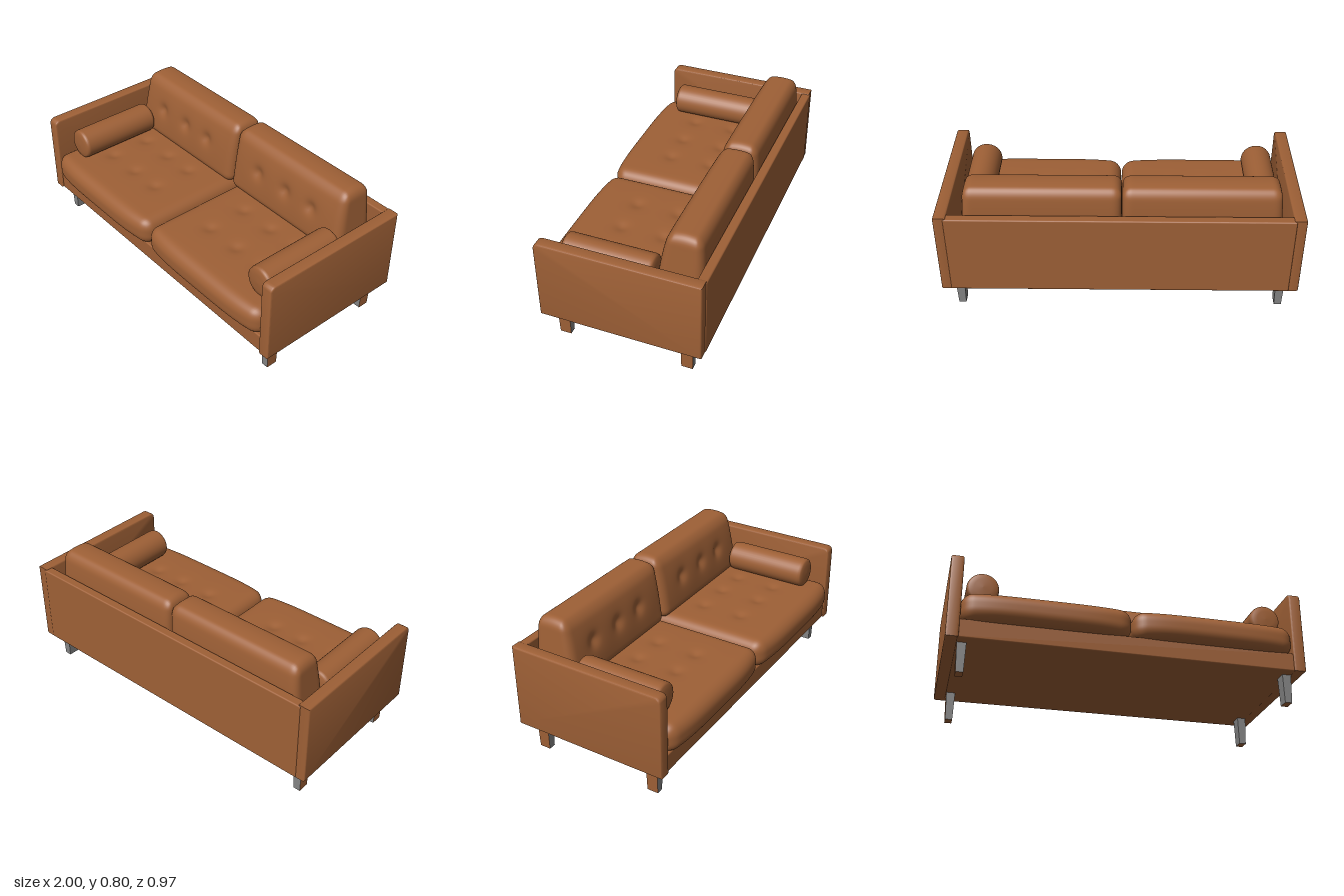
import * as THREE from 'three';
import { mergeVertices, toCreasedNormals } from 'three/addons/utils/BufferGeometryUtils.js';
import { RoundedBoxGeometry } from 'three/addons/geometries/RoundedBoxGeometry.js';

const leather = new THREE.MeshStandardMaterial({ color: 0x9e6036 });
leather.name = 'tan leather';
const metal = new THREE.MeshStandardMaterial({ color: 0x858585 });
metal.name = 'grey metal';

const FLOOR = 0.167; // underside of the frame

function add(parent, name, geometry, material = leather) {
  const mesh = new THREE.Mesh(geometry, material);
  mesh.name = name;
  parent.add(mesh);
  return mesh;
}

// Rounded box between two corners
function block(x0, x1, y0, y1, z0, z1, r) {
  return new RoundedBoxGeometry(x1 - x0, y1 - y0, z1 - z0, 3, r)
    .translate((x0 + x1) / 2, (y0 + y1) / 2, (z0 + z1) / 2);
}

// Finely divided soft box; warp(p, n) shapes it further, n = position in -1..1
function cushion(size, segments, radius, warp) {
  const g = new THREE.BoxGeometry(...size.toArray(), ...segments);
  g.deleteAttribute('uv');
  g.deleteAttribute('normal');
  const half = size.clone().multiplyScalar(0.5);
  const inner = half.clone().subScalar(radius);
  const low = inner.clone().negate();
  const pos = g.attributes.position;
  const p = new THREE.Vector3(), q = new THREE.Vector3();
  for (let i = 0; i < pos.count; i++) {
    p.fromBufferAttribute(pos, i);
    q.copy(p).clamp(low, inner);
    p.sub(q).normalize().multiplyScalar(radius).add(q);
    warp(p, p.clone().divide(half));
    pos.setXYZ(i, p.x, p.y, p.z);
  }
  const merged = mergeVertices(g, 1e-5);
  merged.computeVertexNormals();
  return merged;
}

// Depth of the button dimples around a point
function dimples(a, b, spots, spread) {
  let d = 0;
  for (const [u, v] of spots) {
    const r = Math.hypot(a - u, b - v);
    d += Math.exp(-((r / spread) ** 2)) + 0.35 * Math.exp(-((r / (spread * 2.2)) ** 2));
  }
  return d;
}

const columns = [-0.22, 0, 0.2];

function seatCushion() {
  const spots = columns.flatMap((x) => [[x, 0.13], [x, -0.12]]);
  return cushion(new THREE.Vector3(0.93, 0.168, 0.89), [64, 14, 60], 0.068, (p, n) => {
    const top = Math.max(0, n.y);
    // front bows outward, top is slightly crowned and buttoned
    if (n.z > 0) p.z += n.z ** 4 * (0.008 - 0.035 * n.x ** 4);
    p.y += top * (0.008 * (1 - n.x ** 4) * (1 - n.z ** 4) - 0.011 * dimples(p.x, p.z - 0.03, spots, 0.035));
  });
}

function backCushion(side) {
  const spots = columns.map((x) => [x, 0.01]);
  return cushion(new THREE.Vector3(0.88, 0.375, 0.262), [64, 30, 20], 0.05, (p, n) => {
    const t = (n.y + 1) / 2, front = (n.z + 1) / 2;
    // front leans back, outer end tapers, top is crowned
    p.z -= front * (0.055 * t + 0.012 * t ** 4);
    p.z += (1 - front) * 0.018 * t ** 4;
    if (n.x * side > 0) p.x -= side * 0.03 * t * Math.abs(n.x);
    p.y += Math.max(0, n.y) ** 3 * (0.007 - 0.012 * n.z * n.z);
    // face swells and is buttoned
    p.z += Math.max(0, n.z) * (0.014 * (1 - n.x ** 4) * (1 - n.y ** 2) - 0.018 * dimples(p.x, p.y, spots, 0.035));
  });
}

// Side panel outline in depth and height, with a rounded top front corner
function armGeometry() {
  const b = 0.01, z0 = -0.48 + b, z1 = 0.44 - b, y0 = FLOOR + b, y1 = 0.655 - b, r = 0.025;
  const s = new THREE.Shape();
  s.moveTo(z0, y0);
  s.lineTo(z1, y0);
  s.lineTo(z1, y1 - r);
  s.quadraticCurveTo(z1, y1, z1 - r, y1);
  s.lineTo(z0, y1);
  s.closePath();
  const g = new THREE.ExtrudeGeometry(s, {
    depth: 0.05, bevelSize: b, bevelThickness: b, bevelSegments: 3, curveSegments: 6,
  });
  g.translate(0, 0, -0.025).rotateY(-Math.PI / 2);
  return toCreasedNormals(g, 0.6);
}

// Bolster roll with softened, slightly domed ends
function bolsterGeometry() {
  const h = 0.262, r = 0.089;
  const half = [[0, h], [r * 0.55, h - 0.002], [r * 0.85, h - 0.007], [r * 0.96, h - 0.014], [r, h - 0.028]];
  const pts = [
    ...half.map(([x, y]) => new THREE.Vector2(x, -y)),
    ...half.slice().reverse().map(([x, y]) => new THREE.Vector2(x, y)),
  ];
  return new THREE.LatheGeometry(pts, 40).rotateX(Math.PI / 2);
}

// Tapered leg
function legGeometry() {
  const g = new THREE.BoxGeometry(0.052, 0.18, 0.07);
  const pos = g.attributes.position;
  for (let i = 0; i < pos.count; i++) {
    if (pos.getY(i) < 0) pos.setXYZ(i, pos.getX(i) * 0.78, pos.getY(i), pos.getZ(i) * 0.92);
  }
  g.computeVertexNormals();
  return g;
}

export function createModel() {
  const sofa = new THREE.Group();
  sofa.name = 'sofa';

  // Frame
  add(sofa, 'base', block(-0.94, 0.94, FLOOR, 0.275, -0.475, 0.432, 0.008));
  add(sofa, 'backPanel', block(-0.945, 0.945, FLOOR, 0.65, -0.485, -0.432, 0.008));

  for (const side of [-1, 1]) {
    const label = side > 0 ? 'left' : 'right';
    add(sofa, label + 'Arm', armGeometry()).position.x = side * 0.965;

    // Cushions
    add(sofa, label + 'SeatCushion', seatCushion()).position.set(side * 0.467, 0.349, 0.032);
    add(sofa, label + 'BackCushion', backCushion(side)).position.set(side * 0.442 - 0.012, 0.606, -0.298);
    add(sofa, label + 'Bolster', bolsterGeometry()).position.set(side * 0.815, 0.517, 0.093);

    // Legs: metal with a leather-coloured outer face and foot
    const faces = [metal, metal, metal, leather, metal, metal];
    faces[side > 0 ? 0 : 1] = leather;
    for (const [end, z] of [['Front', 0.336], ['Back', -0.377]]) {
      add(sofa, label + end + 'Leg', legGeometry(), faces).position.set(side * 0.909, 0.09, z);
    }
  }
  return sofa;
}
